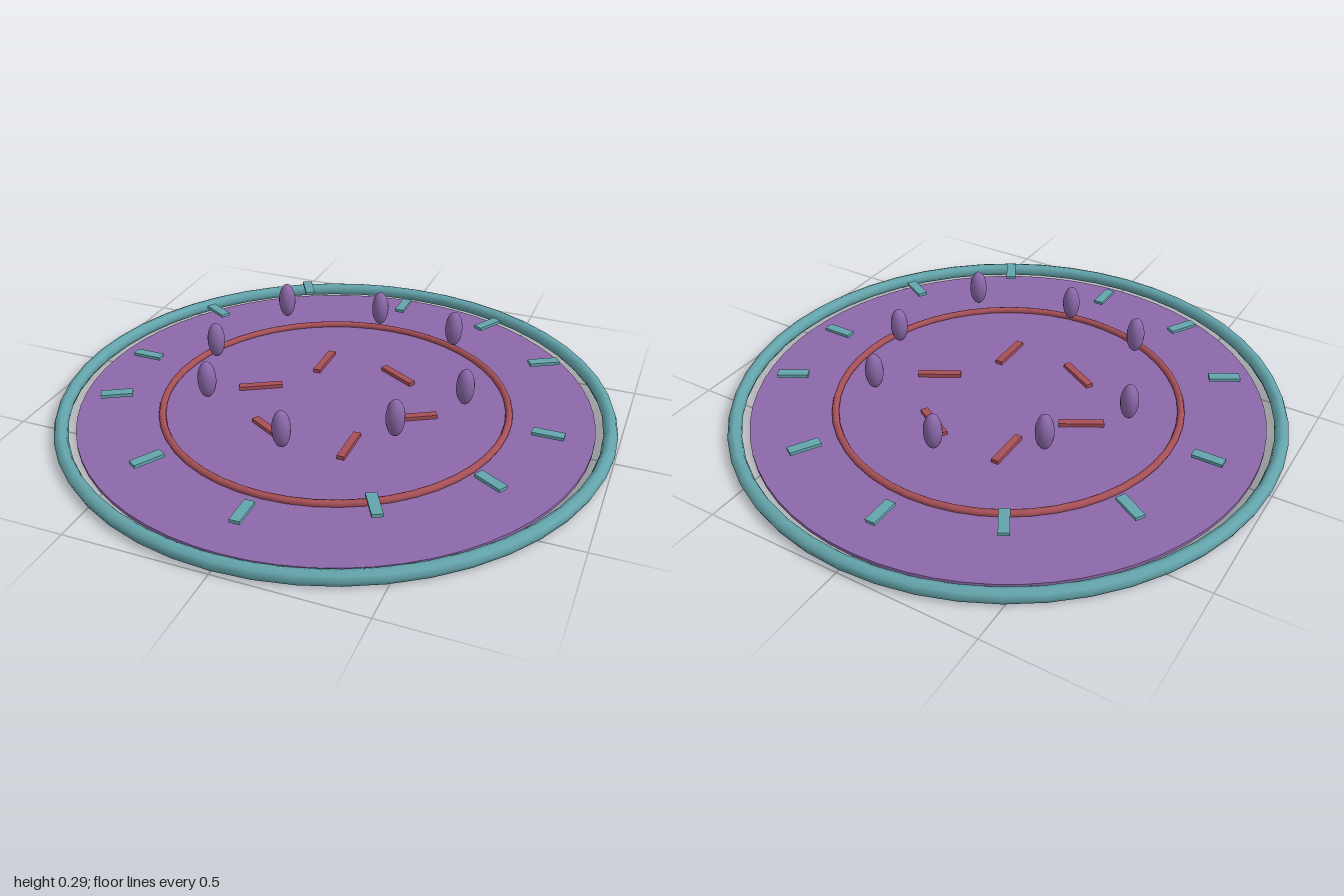
import * as THREE from 'three';

const teal = new THREE.MeshStandardMaterial({ color: 0x64a5ac });
const purple = new THREE.MeshStandardMaterial({ color: 0x8c69aa });
const red = new THREE.MeshStandardMaterial({ color: 0xa85058 });

export function createModel() {
  const model = new THREE.Group();

  const add = (name, geometry, material, x, y, z, turn = 0) => {
    const mesh = new THREE.Mesh(geometry, material);
    mesh.name = name;
    mesh.position.set(x, y, z);
    mesh.rotation.y = turn;
    model.add(mesh);
  };

  // Evenly spaced copies; angle runs from +x towards +z
  const around = (count, radius, place) => {
    for (let i = 0; i < count; i++) {
      const a = (i / count) * Math.PI * 2;
      place(i, a, Math.cos(a) * radius, Math.sin(a) * radius);
    }
  };

  // Thin base disc and the two rings lying flat
  add('baseDisc', new THREE.CylinderGeometry(0.925, 0.925, 0.012, 64), purple, 0, 0.012, 0);
  const ring = (radius, tube) => new THREE.TorusGeometry(radius, tube, 8, 48).rotateX(Math.PI / 2);
  add('outerRing', ring(0.975, 0.025), teal, 0, 0.025, 0);
  add('innerRing', ring(0.624, 0.013), red, 0, 0.025, 0);

  // Radial marker plates floating at three heights
  const plate = new THREE.BoxGeometry(0.11, 0.012, 0.036);
  around(12, 0.773, (i, a, x, z) =>
    add('markerPlate', plate, teal, x, [0.065, 0.097, 0.125][i % 3], z, -a));

  // Stretched beads, every second one higher
  const bead = new THREE.SphereGeometry(0.032, 16, 12).scale(1, 2.1, 1);
  around(8, 0.476, (i, a, x, z) =>
    add('bead', bead, purple, x, i % 2 ? 0.225 : 0.187, z));

  // Short bars in the centre, each turned against its place on the circle
  const bar = new THREE.BoxGeometry(0.16, 0.014, 0.027);
  around(6, 0.3, (i, a, x, z) =>
    add('centreBar', bar, red, x, 0.027, z, a + Math.PI / 6));

  return model;
}
